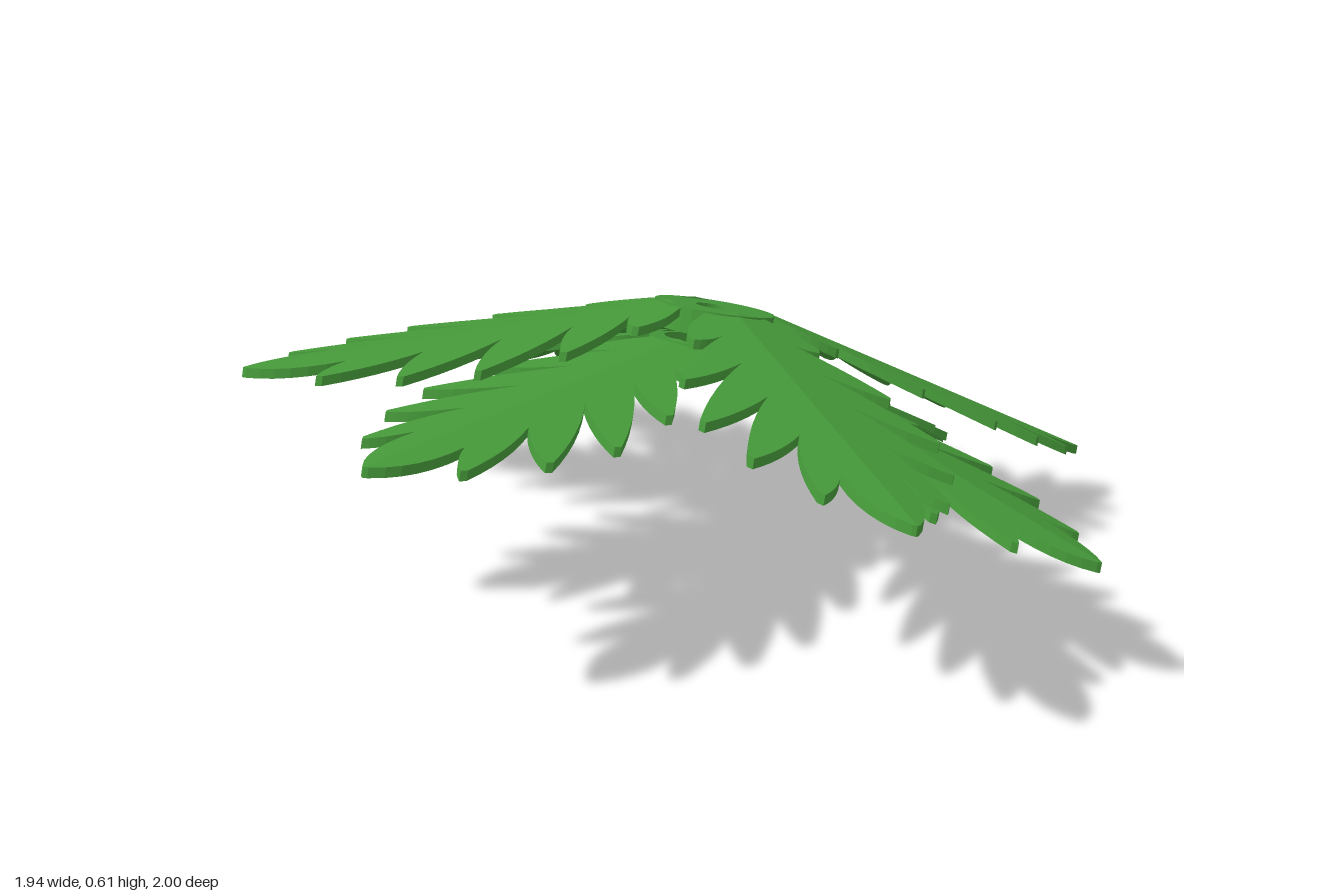
import * as THREE from 'three';
import { mergeGeometries } from 'three/addons/utils/BufferGeometryUtils.js';

const THICK = 0.02;
const SLOPE = 0.264; // fall of the leaf along its midrib
const FOLD = 0.1;    // fall of each half away from the midrib

// Half a leaf outline: x runs along the midrib, y out to the side
function halfLeafShape() {
  const lobes = [[0.24, 0.15], [0.42, 0.235], [0.6, 0.26], [0.742, 0.218], [0.88, 0.135]];
  const notches = [[0.22, 0.07], [0.35, 0.08], [0.5, 0.085], [0.66, 0.085], [0.81, 0.065]];
  const s = new THREE.Shape();
  s.moveTo(0.11, 0);
  s.lineTo(0.11, 0.07);
  let from = [0.13, 0.09];
  s.lineTo(...from);
  lobes.forEach((tip, i) => {
    const n = notches[i];
    // rounded trailing edge, blunt tip, leading edge back to the notch
    s.quadraticCurveTo((from[0] + tip[0]) / 2 - 0.012, (from[1] + tip[1]) / 2 + 0.022, tip[0] - 0.008, tip[1] + 0.002);
    s.lineTo(tip[0] + 0.003, tip[1] - 0.006);
    s.quadraticCurveTo((tip[0] + n[0]) / 2 + 0.018, (tip[1] + n[1]) / 2 - 0.008, n[0], n[1]);
    from = n;
  });
  s.quadraticCurveTo(0.93, 0.075, 0.995, 0.008);
  s.lineTo(1, 0);
  s.closePath();
  return s;
}

// Lay one half down on its sloping plane, on the chosen side of the midrib
function halfLeaf(side) {
  const g = new THREE.ExtrudeGeometry(halfLeafShape(), { depth: THICK, bevelEnabled: false, curveSegments: 6 });
  const p = g.attributes.position;
  const v = new THREE.Vector3();
  for (let i = 0; i < p.count; i++) {
    v.fromBufferAttribute(p, i);
    const y = v.z - THICK - SLOPE * (v.x - 0.125) - FOLD * v.y;
    p.setXYZ(i, v.x, y, v.y * side);
  }
  if (side > 0) {
    // restore the corner order that the mirroring reversed
    const a = new THREE.Vector3();
    for (let i = 0; i < p.count; i += 3) {
      a.fromBufferAttribute(p, i + 1);
      v.fromBufferAttribute(p, i + 2);
      p.setXYZ(i + 1, v.x, v.y, v.z);
      p.setXYZ(i + 2, a.x, a.y, a.z);
    }
  }
  g.computeVertexNormals();
  return g;
}

// Flat ring with an upright wall
function ring(inner, outer, bottom, top) {
  const pts = [[inner, bottom], [outer, bottom], [outer, top], [inner, top], [inner, bottom]];
  const g = new THREE.LatheGeometry(pts.map(([x, y]) => new THREE.Vector2(x, y)), 32).toNonIndexed();
  g.computeVertexNormals();
  return g;
}

export function createModel() {
  const green = new THREE.MeshStandardMaterial({ color: 0x469a3a });
  green.name = 'leafGreen';
  const leafGeometry = mergeGeometries([halfLeaf(1), halfLeaf(-1)]);

  // Four leaves around a ring-shaped hub
  function whorl(name, y, turn, hole) {
    const group = new THREE.Group();
    group.name = name;
    group.position.y = y;
    group.rotation.y = -turn;
    for (let i = 0; i < 4; i++) {
      const leaf = new THREE.Mesh(leafGeometry, green);
      leaf.name = 'leaf' + (i + 1);
      leaf.rotation.y = i * Math.PI / 2;
      group.add(leaf);
    }
    const hub = new THREE.Mesh(ring(hole, 0.132, -THICK, 0), green);
    hub.name = 'hub';
    const collar = new THREE.Mesh(ring(0.105, 0.127, -0.055, -0.01), green);
    collar.name = 'collar';
    group.add(hub, collar);
    return group;
  }

  // The whole crown leans towards +x
  const crown = new THREE.Group();
  crown.name = 'leafCrown';
  crown.position.set(0.075, 0.575, 0);
  crown.rotation.z = -Math.PI / 12;
  crown.add(whorl('upperLeaves', 0, Math.PI / 6, 0.042));
  crown.add(whorl('lowerLeaves', -0.077, 0, 0.1));

  const model = new THREE.Group();
  model.name = 'leafCluster';
  model.add(crown);
  return model;
}
